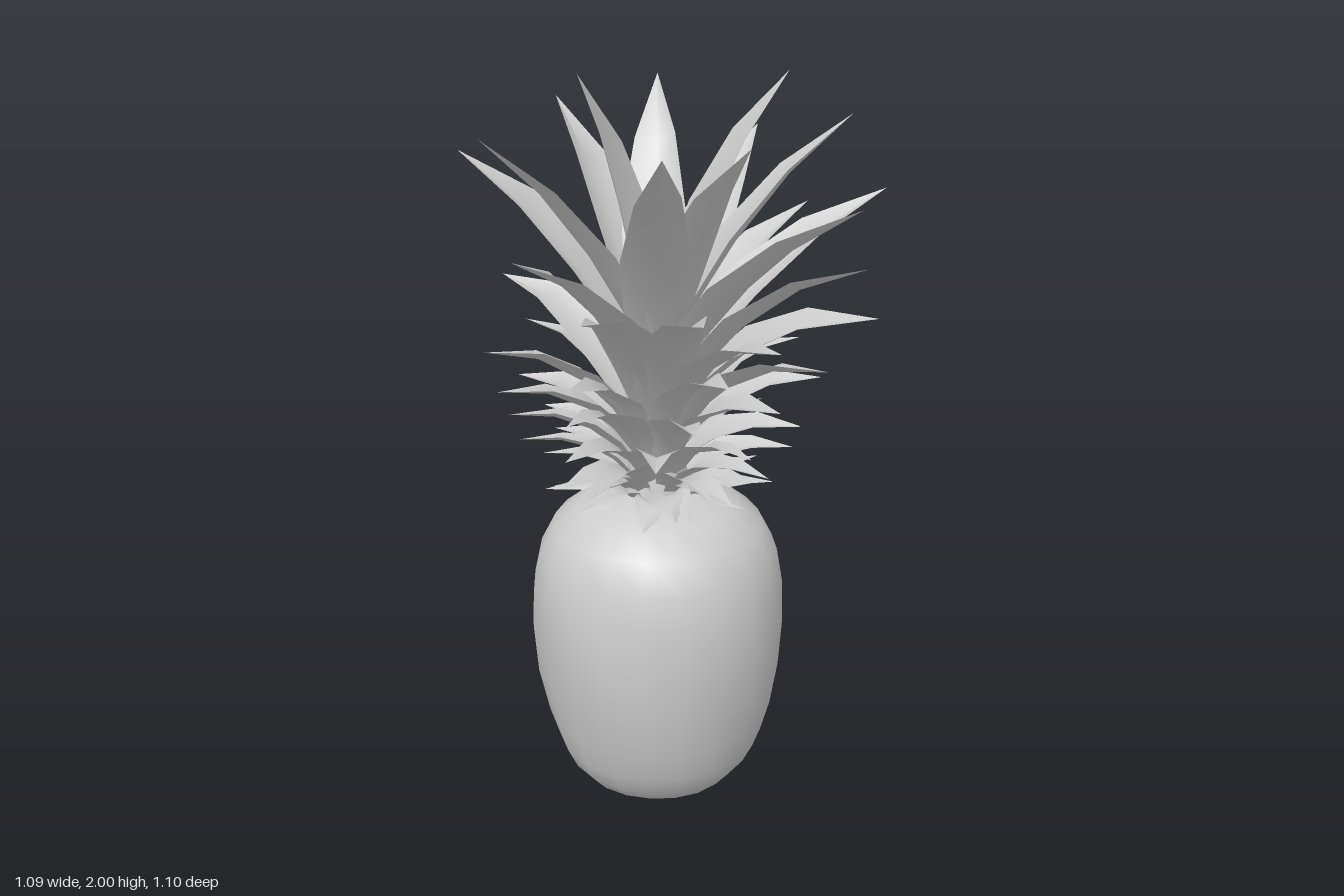
import * as THREE from 'three';
import { mergeVertices } from 'three/addons/utils/BufferGeometryUtils.js';

const CX = -0.07; // axis of the fruit and its crown
const skin = new THREE.MeshStandardMaterial({ color: 0xcccccc });
const leafMat = new THREE.MeshStandardMaterial({ color: 0xcccccc, side: THREE.DoubleSide });

// Tips of the long upper leaves: x, y, z
const TIPS = [
  [-0.27, 2.0, 0.07], [0.26, 1.99, 0.035], [0.02, 1.93, -0.42], [-0.16, 1.88, 0.535],
  [0.43, 1.88, 0.035], [-0.52, 1.88, 0.2], [-0.26, 1.88, -0.42], [-0.545, 1.79, -0.165],
  [0.07, 1.87, 0.4], [0.31, 1.78, -0.44], [0.34, 1.72, 0.4], [0.54, 1.68, 0],
  [-0.47, 1.63, 0.36], [0.39, 1.61, -0.2], [-0.05, 1.6, -0.55], [0.42, 1.53, 0.23],
  [-0.07, 1.51, 0.545], [-0.34, 1.52, 0.51], [0.21, 1.52, -0.45], [0.41, 1.44, 0.35],
  [-0.43, 1.41, -0.36], [0.14, 1.4, 0.45], [-0.2, 1.36, -0.44], [0.28, 1.32, 0.37],
  [-0.52, 1.31, 0.015],
];

// Short lower rows: tip height, reach, count
const ROWS = [
  [1.29, 0.39, 5], [1.2, 0.41, 9], [1.09, 0.37, 9], [1.0, 0.35, 10], [0.94, 0.32, 10], [0.89, 0.27, 10],
];

// Channelled, pointed blade swept along an arching curve from stem to tip
function leaf(tip, roll) {
  const out = new THREE.Vector3(tip.x - CX, 0, tip.z);
  const reach = out.length();
  out.normalize();
  const rise = Math.max(0, tip.y - 0.88);
  const baseY = 0.88 + 0.36 * rise;
  const at = (r, y) => new THREE.Vector3(CX + out.x * r, y, out.z * r);
  const base = at(Math.max(0.02, 0.09 - 0.07 * rise), baseY);
  // Lower leaves arch over more strongly
  const lift = 0.62 + 0.22 * THREE.MathUtils.clamp((1.7 - tip.y) / 0.25, 0, 1);
  const bend = at(0.45 * reach, baseY + lift * (tip.y - baseY) + 0.035);
  const curve = new THREE.QuadraticBezierCurve3(base, bend, tip);
  const half = Math.min(0.087, 0.03 + 0.085 * curve.getLength());
  const flat = new THREE.Vector3(out.z, 0, -out.x);

  const stations = [[0, 0.65], [0.2, 0.92], [0.42, 1], [0.7, 0.64], [1, 0]];
  const pos = [], index = [];
  stations.forEach(([t, w], i) => {
    const p = curve.getPoint(t), dir = curve.getTangent(t);
    const side = flat.clone().applyAxisAngle(dir, roll);
    const inward = dir.clone().cross(side).normalize();
    if (inward.dot(out) > 0) inward.negate();
    for (const s of [-1, 0, 1]) {
      const v = p.clone().addScaledVector(side, s * half * w)
        .addScaledVector(inward, Math.abs(s) * half * w * 0.4);
      pos.push(v.x, v.y, v.z);
    }
    if (i === stations.length - 1) return;
    const a = i * 3;
    for (const k of [a, a + 1]) index.push(k, k + 1, k + 3, k + 1, k + 4, k + 3);
  });
  const g = new THREE.BufferGeometry();
  g.setAttribute('position', new THREE.Float32BufferAttribute(pos, 3));
  g.setIndex(index);
  g.computeVertexNormals();
  return new THREE.Mesh(g, leafMat);
}

// Barrel-shaped fruit with a slightly uneven skin and a rounded, shallowly dented underside
function fruitGeometry() {
  const profile = [
    [0, 0.03], [0.09, 0.018], [0.17, 0.005], [0.22, 0.03], [0.262, 0.08], [0.29, 0.14], [0.316, 0.23],
    [0.342, 0.36], [0.353, 0.5], [0.346, 0.62], [0.326, 0.72], [0.285, 0.8], [0.215, 0.855],
    [0.13, 0.885], [0, 0.89],
  ].map(([r, y]) => new THREE.Vector2(r, y));
  let g = new THREE.LatheGeometry(profile, 20);
  g.deleteAttribute('uv');
  g.deleteAttribute('normal');
  g = mergeVertices(g, 1e-4);
  const p = g.attributes.position;
  for (let i = 0; i < p.count; i++) {
    const a = Math.atan2(p.getZ(i), p.getX(i)), y = p.getY(i);
    const k = 1 + 0.008 * Math.sin(3 * a + 7 * y) + 0.008 * Math.cos(5 * a - 11 * y);
    p.setX(i, p.getX(i) * k);
    p.setZ(i, p.getZ(i) * k);
  }
  g.computeVertexNormals();
  return g;
}

export function createModel() {
  const model = new THREE.Group();

  const fruit = new THREE.Mesh(fruitGeometry(), skin);
  fruit.name = 'fruit';
  fruit.position.x = CX;
  model.add(fruit);

  // Stem hidden inside the crown
  const stem = new THREE.Mesh(new THREE.CylinderGeometry(0.02, 0.1, 0.4, 10), skin);
  stem.name = 'stem';
  stem.position.set(CX, 1.05, 0);
  model.add(stem);

  const upper = new THREE.Group();
  upper.name = 'upperLeaves';
  TIPS.forEach((t, i) => {
    const blade = leaf(new THREE.Vector3(...t), 0.25 * Math.sin(i * 2.4));
    blade.name = 'longLeaf';
    upper.add(blade);
  });
  model.add(upper);

  const lower = new THREE.Group();
  lower.name = 'lowerLeaves';
  ROWS.forEach(([y, reach, count], row) => {
    for (let i = 0; i < count; i++) {
      const wobble = Math.sin(i * 2.4 + row * 1.7);
      const a = (i / count) * Math.PI * 2 + row * 0.9 + 0.1 * wobble;
      const r = reach * (1 + 0.06 * wobble);
      const tip = new THREE.Vector3(CX + r * Math.cos(a), y + 0.02 * wobble, r * Math.sin(a));
      const blade = leaf(tip, 0.2 * wobble);
      blade.name = 'shortLeaf';
      lower.add(blade);
    }
  });
  model.add(lower);

  return model;
}
